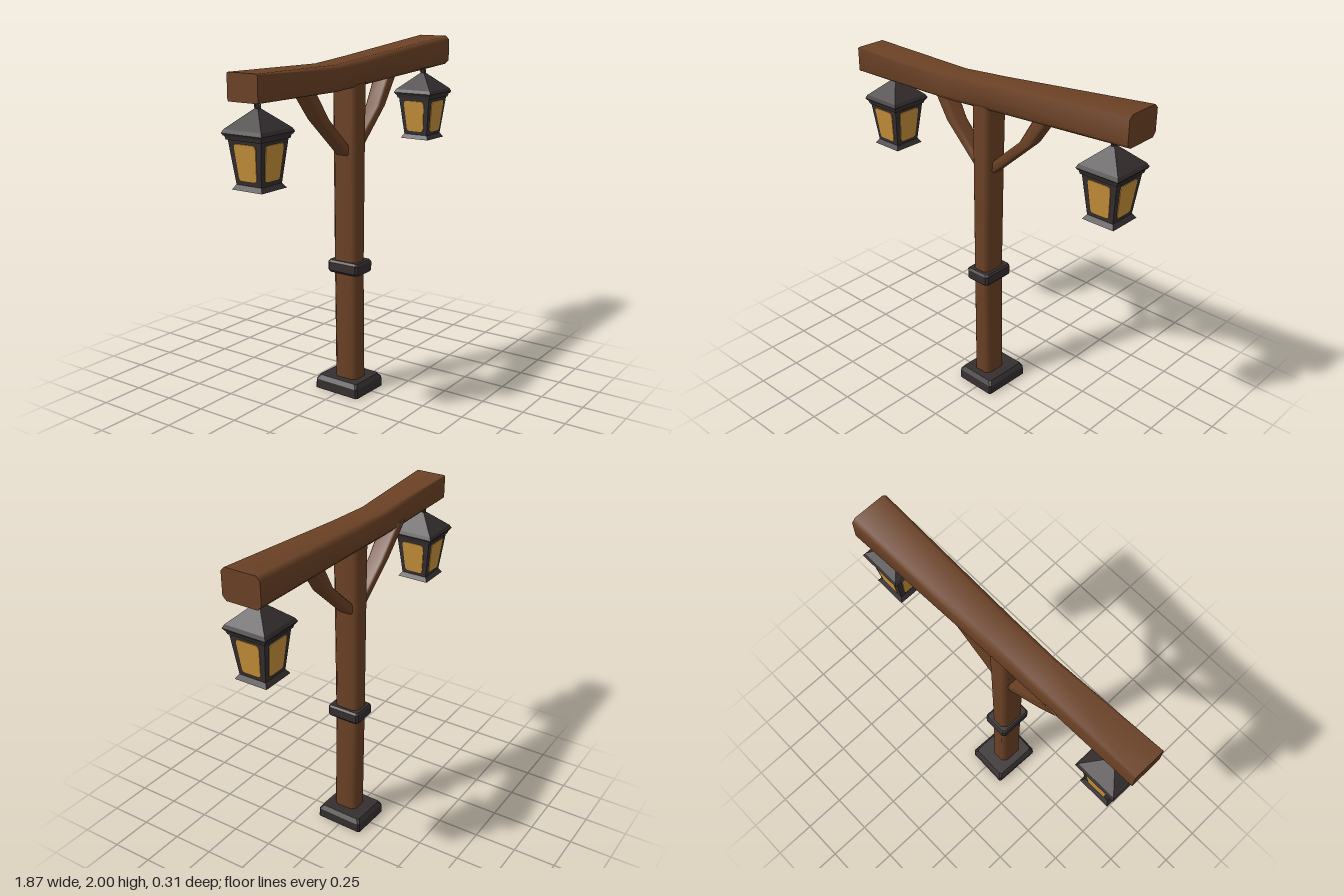
import * as THREE from 'three';

const wood = new THREE.MeshStandardMaterial({ color: 0x6b4125 });
wood.name = 'wood';
const iron = new THREE.MeshStandardMaterial({ color: 0x362f30 });
iron.name = 'darkIron';
const glass = new THREE.MeshStandardMaterial({ color: 0xc8923a });
glass.name = 'amberGlass';

function add(parent, name, geometry, material) {
  const mesh = new THREE.Mesh(geometry, material);
  mesh.name = name;
  parent.add(mesh);
  return mesh;
}

// Chamfered beam through sections [t, a0, a1, b0, b1, chamfer].
// Axis 'y': a is z and b is x. Axis 'x': a is y and b is z.
function loft(axis, sections, flat = false) {
  const pos = [], index = [];
  const put = (t, a, b) => axis === 'y' ? pos.push(b, t, a) : pos.push(t, a, b);
  const ring = ([t, a0, a1, b0, b1, c]) => {
    const pts = [[a0 + c, b0], [a1 - c, b0], [a1, b0 + c], [a1, b1 - c],
      [a1 - c, b1], [a0 + c, b1], [a0, b1 - c], [a0, b0 + c]];
    pts.forEach(([a, b]) => put(t, a, b));
  };
  sections.forEach(ring);
  for (let s = 0; s < sections.length - 1; s++) {
    for (let i = 0; i < 8; i++) {
      const a = s * 8 + i, b = s * 8 + (i + 1) % 8;
      index.push(a, b, b + 8, a, b + 8, a + 8);
    }
  }
  // separate end caps keep the cut ends crisp
  const start = sections.length * 8;
  ring(sections[0]);
  ring(sections[sections.length - 1]);
  for (let i = 1; i < 7; i++) {
    index.push(start, start + i + 1, start + i);
    index.push(start + 8, start + 8 + i, start + 9 + i);
  }
  let g = new THREE.BufferGeometry();
  g.setAttribute('position', new THREE.Float32BufferAttribute(pos, 3));
  g.setIndex(index);
  if (flat) g = g.toNonIndexed();
  g.computeVertexNormals();
  return g;
}

// Four-sided tapered block given by half widths at bottom and top
function frustum(bottom, top, y0, y1) {
  const g = new THREE.CylinderGeometry(top * Math.SQRT2, bottom * Math.SQRT2, y1 - y0, 4)
    .rotateY(Math.PI / 4).translate(0, (y0 + y1) / 2, 0).toNonIndexed();
  g.computeVertexNormals();
  return g;
}

// Window pane outline with clipped, softened corners
function paneGeometry() {
  const b = 0.058, t = 0.07, h = 0.094, r = 0.02;
  const s = new THREE.Shape();
  s.moveTo(-b + r, -h);
  s.lineTo(b - r, -h);
  s.quadraticCurveTo(b, -h, b, -h + r);
  s.lineTo(t, h - r);
  s.quadraticCurveTo(t, h, t - r, h);
  s.lineTo(-t + r, h);
  s.quadraticCurveTo(-t, h, -t, h - r);
  s.lineTo(-b, -h + r);
  s.quadraticCurveTo(-b, -h, -b + r, -h);
  return new THREE.ExtrudeGeometry(s, { depth: 0.004, bevelEnabled: false, curveSegments: 3 });
}

function lantern(name, x, y) {
  const g = new THREE.Group();
  g.name = name;
  g.position.set(x, y, -0.005);
  add(g, 'lanternFoot', frustum(0.097, 0.08, 0, 0.025), iron);
  add(g, 'lanternBody', frustum(0.079, 0.106, 0.02, 0.255), iron);
  add(g, 'lanternCornice', frustum(0.112, 0.118, 0.25, 0.272), iron);
  add(g, 'lanternEave', frustum(0.121, 0.129, 0.27, 0.283), iron);
  add(g, 'lanternEaveTop', frustum(0.129, 0.119, 0.283, 0.302), iron);
  add(g, 'lanternRoof', frustum(0.119, 0.012, 0.302, 0.398), iron);
  // a pane on each of the four leaning sides
  for (let i = 0; i < 4; i++) {
    const side = new THREE.Group();
    side.name = 'windowSide';
    side.rotation.y = i * Math.PI / 2;
    const pane = add(side, 'windowPane', paneGeometry(), glass);
    pane.position.set(0, 0.14, 0.0935);
    pane.rotation.x = Math.atan2(0.027, 0.235);
    g.add(side);
  }
  // hanging rod and ring
  add(g, 'hangingRod', new THREE.CylinderGeometry(0.009, 0.009, 0.09, 8), iron).position.y = 0.43;
  const loop = add(g, 'hangingRing', new THREE.TorusGeometry(0.016, 0.006, 6, 12), iron);
  loop.position.y = 0.41;
  loop.rotation.y = Math.PI / 2;
  return g;
}

export function createModel() {
  const model = new THREE.Group();
  model.name = 'lampPost';

  // upright post
  add(model, 'post', loft('y', [
    [0.04, -0.06, 0.09, -0.082, 0.04, 0.025],
    [0.75, -0.065, 0.09, -0.086, 0.028, 0.025],
    [1.4, -0.068, 0.09, -0.088, 0.035, 0.025],
    [1.82, -0.07, 0.09, -0.09, 0.042, 0.025],
  ]), wood);

  // crooked cross beam
  add(model, 'crossBeam', loft('x', [
    [-0.935, 1.78, 1.92, -0.06, 0.13, 0.006],
    [-0.25, 1.768, 1.91, -0.074, 0.104, 0.022],
    [0.05, 1.782, 1.932, -0.09, 0.1, 0.028],
    [0.93, 1.83, 2.0, -0.135, 0.09, 0.022],
  ]), wood);

  // bent braces, cut level at each section
  add(model, 'rightBrace', loft('y', [
    [1.4, -0.04, 0.05, -0.09, -0.015, 0.012],
    [1.62, -0.055, 0.04, -0.325, -0.243, 0.012],
    [1.81, -0.08, 0.03, -0.455, -0.37, 0.012],
  ]), wood);
  add(model, 'leftBrace', loft('y', [
    [1.41, -0.04, 0.05, -0.04, 0.04, 0.012],
    [1.64, -0.05, 0.045, 0.215, 0.292, 0.012],
    [1.83, -0.06, 0.045, 0.33, 0.42, 0.012],
  ]), wood);

  // base plinth with worn top edge
  const base = add(model, 'base', loft('y', [
    [0, -0.15, 0.15, -0.13, 0.13, 0.008],
    [0.055, -0.148, 0.148, -0.13, 0.13, 0.01],
    [0.08, -0.132, 0.132, -0.113, 0.113, 0.012],
  ], true), iron);
  base.position.x = -0.013;
  base.rotation.y = -0.03;

  // iron collar round the post
  const collar = add(model, 'collar', loft('y', [
    [-0.036, -0.095, 0.095, -0.07, 0.07, 0.012],
    [-0.024, -0.103, 0.103, -0.08, 0.08, 0.014],
    [0.024, -0.103, 0.103, -0.08, 0.08, 0.014],
    [0.036, -0.095, 0.095, -0.07, 0.07, 0.012],
  ], true), iron);
  collar.position.set(-0.025, 0.753, 0.014);

  model.add(lantern('rightLantern', -0.78, 1.335));
  model.add(lantern('leftLantern', 0.785, 1.383));
  return model;
}
